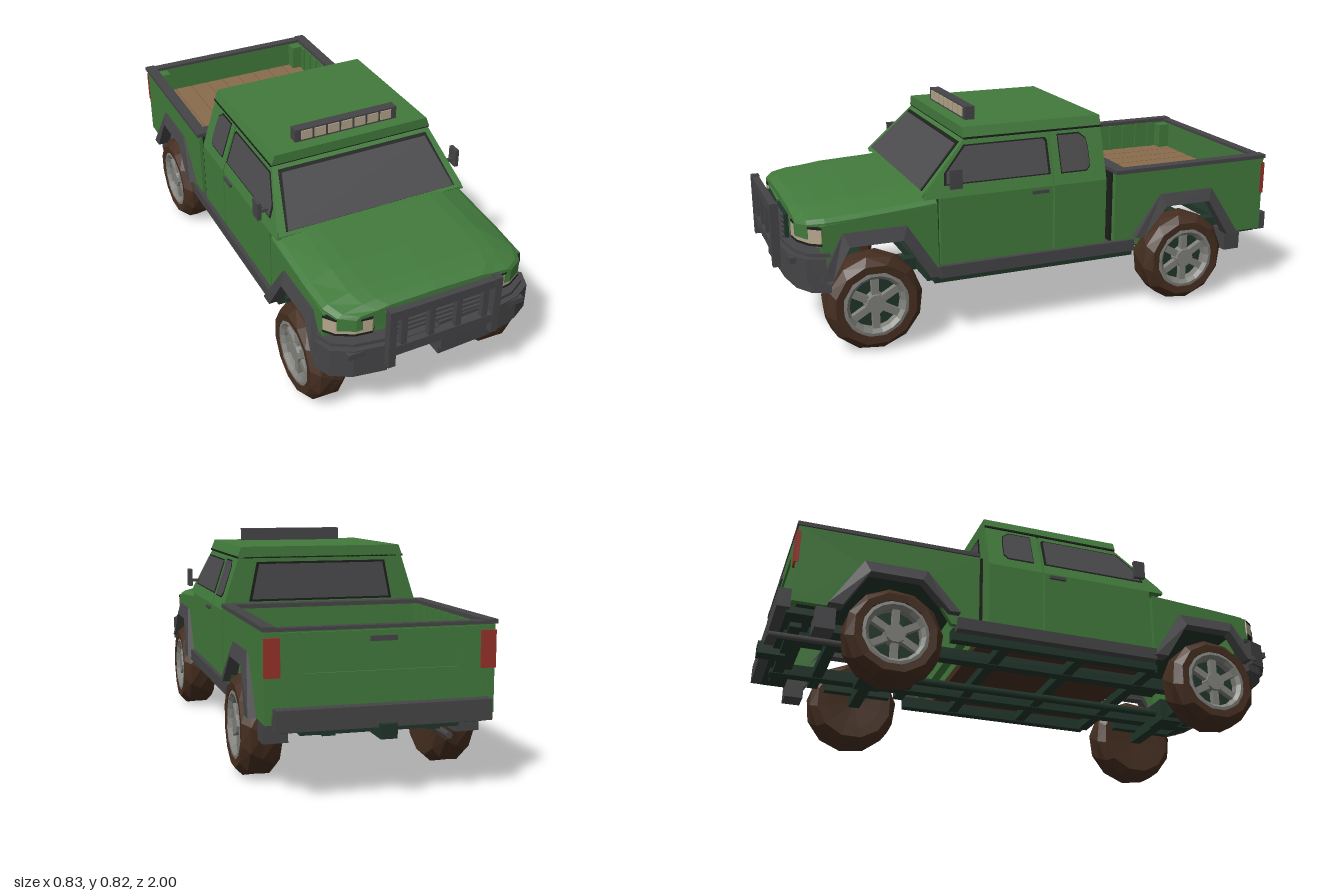
import * as THREE from 'three';

const mat = (name, color) => Object.assign(new THREE.MeshStandardMaterial({ color }), { name });

export function createModel() {
  const truck = new THREE.Group();
  truck.name = 'pickupTruck';
  const green = mat('bodyGreen', 0x427a3c), trim = mat('trimGrey', 0x454547), glass = mat('glassGrey', 0x4b4b4d);
  const frame = mat('chassisGreen', 0x20352a), tyre = mat('tyreBrown', 0x452e20), rim = mat('rimGrey', 0x80807b);
  const wood = mat('bedWood', 0x8a6c4c), lamp = mat('lampCream', 0xb5a68c), red = mat('tailRed', 0x97302a);
  const black = mat('sealBlack', 0x1c1f1c);

  const add = (name, geo, material, parent = truck) => {
    const m = new THREE.Mesh(geo, material);
    m.name = name;
    parent.add(m);
    return m;
  };
  // box given by its limits on each axis
  const box = (name, m, x0, x1, y0, y1, z0, z1, parent) => add(name,
    new THREE.BoxGeometry(x1 - x0, y1 - y0, z1 - z0).translate((x0 + x1) / 2, (y0 + y1) / 2, (z0 + z1) / 2), m, parent);
  const pair = (name, m, x0, x1, ...r) => {
    box(name + 'Left', m, x0, x1, ...r);
    box(name + 'Right', m, -x1, -x0, ...r);
  };
  const shapeOf = (pts) => new THREE.Shape(pts.map(([a, b]) => new THREE.Vector2(a, b)));
  const extrude = (shape, depth) => new THREE.ExtrudeGeometry(shape, { depth, bevelEnabled: false });
  const cabLean = (y) => -Math.max(0, y - 0.53) * 0.33;
  // panel outlined in (z, y), made on both sides, leaning inwards by a rule
  const sidePanels = (name, m, pts, x0, x1, lean = () => 0) => {
    for (const s of [1, -1]) {
      const g = extrude(shapeOf(pts.map(([z, y]) => [-z, y])), x1 - x0).rotateY(Math.PI / 2).translate(s > 0 ? x0 : -x1, 0, 0);
      const p = g.attributes.position;
      for (let i = 0; i < p.count; i++) p.setX(i, p.getX(i) + s * lean(p.getY(i), Math.abs(p.getX(i))));
      g.computeVertexNormals();
      add(name + (s > 0 ? 'Left' : 'Right'), g, m);
    }
  };
  // plan outline in (x, z), extruded upwards
  const plan = (name, m, pts, y0, y1) =>
    add(name, extrude(shapeOf(pts.map(([x, z]) => [x, -z])), y1 - y0).rotateX(-Math.PI / 2).translate(0, y0, 0), m);
  const mirrorX = (half) => [...half, ...half.filter(([x]) => x > 0).reverse().map(([x, z]) => [-x, z])];
  const loop = (half, t) => [...mirrorX(half), ...mirrorX(half.map(([x, z]) => [x > 0 ? x - t : 0, z - t])).reverse()];
  const trapezoid = (w0, y0, w1, y1) => [[-w0, y0], [w0, y0], [w1, y1], [-w1, y1]];

  // hood lofted along z: half width, shoulder height, crown height
  const stations = [[0.44, 0.383, 0.515, 0.552], [0.5, 0.384, 0.51, 0.55], [0.72, 0.385, 0.495, 0.54],
    [0.84, 0.38, 0.488, 0.526], [0.9, 0.355, 0.482, 0.515], [0.93, 0.3, 0.476, 0.498]];
  const rows = stations.map(([z, w, s, t]) => {
    const half = [[w, 0.43], [w, s], [w * 0.95, s + 0.012], [w * 0.74, t - 0.006], [w * 0.6, t]];
    return [...half, [0, t + 0.003], ...half.slice().reverse().map(([x, y]) => [-x, y])].map(([x, y]) => [x, y, z]);
  });
  const tris = [];
  for (let i = 0; i + 1 < rows.length; i++) {
    for (let j = 0; j + 1 < rows[i].length; j++) {
      const [a, b, c, d] = [rows[i][j], rows[i][j + 1], rows[i + 1][j + 1], rows[i + 1][j]];
      tris.push(...a, ...b, ...d, ...b, ...c, ...d);
    }
  }
  const nose = rows.at(-1);
  for (let j = 1; j + 1 < nose.length; j++) tris.push(...nose[0], ...nose[j], ...nose[j + 1]);
  const hood = new THREE.BufferGeometry();
  hood.setAttribute('position', new THREE.Float32BufferAttribute(tris, 3));
  hood.computeVertexNormals();
  add('hood', hood, green);
  box('engineBayLiner', frame, -0.365, 0.365, 0.422, 0.432, 0.44, 0.88);
  box('firewall', frame, -0.36, 0.36, 0.28, 0.53, 0.425, 0.44);

  // fenders and front fascia
  sidePanels('frontFender', green, [[0.86, 0.3], [0.86, 0.48], [0.44, 0.51], [0.438, 0.27], [0.475, 0.27],
    [0.57, 0.42], [0.77, 0.42], [0.835, 0.3]], 0.365, 0.385);
  const noseLine = [[0, 0.94], [0.2, 0.935], [0.3, 0.92], [0.355, 0.89], [0.382, 0.845]];
  plan('fascia', green, loop(noseLine, 0.03), 0.34, 0.478);
  for (const s of [1, -1]) {
    const line = [[0.243, 0.935], [0.303, 0.926], [0.36, 0.895], [0.388, 0.858]];
    const strip = (t) => [...line.map(([x, z]) => [x + t, z + t]), ...line.slice().reverse().map(([x, z]) => [x - 0.02, z - 0.02])].map(([x, z]) => [s * x, z]);
    plan('headlight', lamp, strip(0), 0.417, 0.468);
    plan('headlightTopSeal', black, strip(0.001), 0.468, 0.475);
    plan('headlightLowerSeal', black, strip(0.001), 0.409, 0.417);
  }
  box('grillePanel', frame, -0.175, 0.175, 0.375, 0.472, 0.93, 0.945);
  for (let i = 0; i < 5; i++) box('grilleSlat', trim, -0.17, 0.17, 0.385 + i * 0.019, 0.394 + i * 0.019, 0.94, 0.955);

  // front bumper and bull bar
  const bumperLine = [[0, 0.982], [0.2, 0.975], [0.32, 0.955], [0.39, 0.915], [0.415, 0.85]];
  plan('frontBumper', trim, loop(bumperLine, 0.06), 0.275, 0.372);
  plan('frontBumperLip', trim, loop(bumperLine.map(([x, z]) => [x * 0.985, z - 0.015]), 0.06), 0.245, 0.275);
  plan('frontBumperTop', trim, loop(bumperLine.map(([x, z]) => [x * 0.97, z - 0.018]), 0.04), 0.372, 0.385);
  box('bumperInset', trim, -0.345, 0.345, 0.345, 0.367, 0.93, 0.962);
  pair('bullBarPost', trim, 0.188, 0.215, 0.293, 0.527, 0.97, 1);
  box('bullBarTop', trim, -0.19, 0.19, 0.488, 0.522, 0.972, 0.997);
  box('bullBarBottom', trim, -0.19, 0.19, 0.337, 0.374, 0.972, 0.997);
  for (const x of [-0.157, -0.052, 0.052, 0.157]) box('bullBarUpright', trim, x - 0.011, x + 0.011, 0.37, 0.49, 0.975, 0.995);

  // cab: lower doors, leaning greenhouse, roof, back wall
  sidePanels('doorLower', green, [[0.43, 0.282], [0.43, 0.53], [-0.01, 0.53], [-0.01, 0.282]], 0.365, 0.385);
  sidePanels('rearCabLower', green, [[-0.017, 0.275], [-0.017, 0.53], [-0.23, 0.53], [-0.23, 0.275]], 0.365, 0.385);
  sidePanels('doorUpper', green, [[0.49, 0.53], [0.48, 0.555], [0.31, 0.73], [-0.01, 0.73], [-0.01, 0.53]], 0.365, 0.385, cabLean);
  sidePanels('rearCabUpper', green, [[-0.017, 0.53], [-0.017, 0.73], [-0.23, 0.73], [-0.23, 0.53]], 0.365, 0.385, cabLean);
  const doorWin = [[0.4, 0.577], [0.395, 0.615], [0.315, 0.699], [0.012, 0.699], [0.005, 0.69], [0.005, 0.577]];
  const rearWin = [[-0.05, 0.575], [-0.05, 0.705], [-0.135, 0.705], [-0.16, 0.685], [-0.165, 0.65], [-0.165, 0.59], [-0.15, 0.575]];
  for (const [name, pts] of [['doorWindow', doorWin], ['rearSideWindow', rearWin]]) {
    const cz = (pts[0][0] + pts.at(-2)[0]) / 2;
    sidePanels(name + 'Seal', black, pts.map(([z, y]) => [cz + (z - cz) * 1.05, 0.64 + (y - 0.64) * 1.08]), 0.382, 0.387, cabLean);
    sidePanels(name, glass, pts, 0.382, 0.389, cabLean);
  }
  add('roof', extrude(shapeOf([...trapezoid(0.325, 0.727, 0.311, 0.765)]), 0.55).translate(0, 0, -0.23), green);
  box('roofSeam', black, -0.327, 0.327, 0.722, 0.729, -0.23, 0.318);
  const back = shapeOf([[-0.383, 0.28], [0.383, 0.28], [0.383, 0.53], [0.318, 0.73], [-0.318, 0.73], [-0.383, 0.53]]);
  add('cabBackWall', extrude(back, 0.015).translate(0, 0, -0.23), green);
  add('rearWindowSeal', extrude(shapeOf(trapezoid(0.282, 0.56, 0.252, 0.708)), 0.003).translate(0, 0, -0.233), black);
  add('rearWindow', extrude(shapeOf(trapezoid(0.27, 0.568, 0.243, 0.7)), 0.005).translate(0, 0, -0.235), glass);
  box('cabFloor', tyre, -0.37, 0.37, 0.25, 0.28, -0.23, 0.44);

  // windshield on its slanted frame
  const shield = new THREE.Group();
  shield.name = 'windshield';
  shield.position.set(0, 0.55, 0.488);
  shield.rotation.x = -Math.PI / 4;
  truck.add(shield);
  add('windshieldFrame', extrude(shapeOf(trapezoid(0.376, -0.01, 0.318, 0.255)), 0.012).translate(0, 0, -0.012), green, shield);
  add('windshieldSeal', extrude(shapeOf(trapezoid(0.345, 0.004, 0.303, 0.226)), 0.003), black, shield);
  add('windshieldGlass', extrude(shapeOf(trapezoid(0.338, 0.004, 0.294, 0.212)), 0.006), glass, shield);

  // roof light bar
  box('lightBar', trim, -0.208, 0.208, 0.763, 0.814, 0.232, 0.27);
  for (let i = -3; i <= 3; i++) box('lightBarLamp', lamp, i * 0.054 - 0.022, i * 0.054 + 0.022, 0.773, 0.808, 0.265, 0.274);

  // mirrors, handles and sills
  pair('mirrorArm', trim, 0.36, 0.405, 0.585, 0.596, 0.37, 0.382);
  pair('mirror', trim, 0.401, 0.416, 0.568, 0.638, 0.355, 0.4);
  pair('doorHandle', trim, 0.384, 0.394, 0.508, 0.52, 0.01, 0.075);
  pair('sill', trim, 0.35, 0.4, 0.235, 0.28, -0.35, 0.44);

  // wheel-arch flares
  const flare = (name, zc, a, b) => sidePanels(name, trim, [[zc + a, 0.29], [zc + 0.115, 0.447], [zc - 0.115, 0.447], [zc - b, 0.25],
    [zc - b + 0.05, 0.25], [zc - 0.095, 0.4], [zc + 0.095, 0.4], [zc + a - 0.04, 0.29]], 0.365, 0.416,
  (y, x) => (x > 0.4 ? -Math.max(0, y - 0.38) * 0.35 : 0));
  flare('frontFlare', 0.67, 0.2, 0.24);
  flare('rearFlare', -0.58, 0.235, 0.235);

  // cargo bed
  sidePanels('bedSide', green, [[-0.268, 0.255], [-0.268, 0.545], [-0.935, 0.545], [-0.935, 0.25], [-0.785, 0.25],
    [-0.685, 0.42], [-0.475, 0.42], [-0.37, 0.255]], 0.365, 0.387);
  pair('bedInnerWall', green, 0.35, 0.366, 0.42, 0.545, -0.92, -0.27);
  for (let i = 0; i < 8; i++) pair('bedRib', green, 0.342, 0.352, 0.43, 0.545, -0.38 - i * 0.065, -0.365 - i * 0.065);
  pair('bedCornerPost', green, 0.305, 0.352, 0.43, 0.54, -0.91, -0.86);
  pair('bedRail', trim, 0.352, 0.394, 0.545, 0.56, -0.94, -0.268);
  box('bedFrontWall', green, -0.385, 0.385, 0.255, 0.545, -0.3, -0.268);
  box('bedFrontRail', trim, -0.394, 0.394, 0.545, 0.56, -0.32, -0.268);
  box('bedFrontSeal', black, -0.375, 0.375, 0.28, 0.55, -0.262, -0.252);
  box('bedUnderside', frame, -0.352, 0.352, 0.415, 0.428, -0.92, -0.28);
  for (let i = 0; i < 9; i++) box('bedPlank', wood, -0.346 + i * 0.077, -0.273 + i * 0.077, 0.427, 0.436, -0.905, -0.3);

  // tailgate with a recessed panel
  box('tailgate', green, -0.366, 0.366, 0.28, 0.545, -0.93, -0.908);
  const gate = shapeOf(trapezoid(0.335, 0.3, 0.335, 0.54));
  gate.holes.push(new THREE.Path(trapezoid(0.26, 0.41, 0.26, 0.485).map(([x, y]) => new THREE.Vector2(x, y))));
  add('tailgateFrame', extrude(gate, 0.009).translate(0, 0, -0.938), green);
  box('tailgateRail', trim, -0.36, 0.36, 0.545, 0.556, -0.94, -0.905);
  box('tailgateHandle', trim, -0.045, 0.045, 0.505, 0.522, -0.944, -0.935);
  pair('tailLight', red, 0.338, 0.389, 0.4, 0.525, -0.941, -0.925);

  // rear bumper, hitch, exhaust, flaps
  box('rearBumper', trim, -0.362, 0.362, 0.235, 0.305, -0.98, -0.935);
  box('rearBumperStep', frame, -0.34, 0.34, 0.225, 0.25, -0.945, -0.85);
  box('hitch', frame, -0.028, 0.028, 0.2, 0.248, -1, -0.9);
  pair('mudFlap', trim, 0.29, 0.375, 0.17, 0.25, -0.85, -0.78);
  add('exhaust', new THREE.CylinderGeometry(0.012, 0.012, 0.5, 8).rotateX(Math.PI / 2).translate(-0.21, 0.195, -0.735), trim);

  // ladder chassis and axles
  pair('chassisRail', frame, 0.155, 0.2, 0.205, 0.25, -0.93, 0.88);
  pair('outerRail', frame, 0.33, 0.365, 0.205, 0.25, -0.36, 0.45);
  for (const z of [0.85, 0.45, 0.15, -0.15, -0.4, -0.75, -0.9]) {
    const w = z > -0.3 && z < 0.5 ? 0.34 : 0.27;
    box('crossMember', frame, -w, w, 0.208, 0.24, z - 0.02, z + 0.02);
  }
  add('driveShaft', new THREE.CylinderGeometry(0.016, 0.016, 1.25, 8).rotateX(Math.PI / 2).translate(0, 0.185, 0.05), frame);
  for (const z of [0.68, -0.575]) {
    box('axle', frame, -0.3, 0.3, 0.155, 0.197, z - 0.022, z + 0.022);
    box('differential', frame, -0.054, 0.054, 0.14, 0.23, z - 0.05, z + 0.05);
    pair('spring', frame, 0.225, 0.255, 0.19, 0.225, z - 0.13, z + 0.13);
  }

  // wheels: faceted tyre with skewed tread, dished six-spoke rim
  const ring = (pts, sides) => new THREE.LatheGeometry(pts.map(([r, x]) => new THREE.Vector2(r, x)), sides);
  const flat = (g) => { const f = g.toNonIndexed(); f.computeVertexNormals(); return f; };
  const tyreGeo = ring([[0, -0.06], [0.11, -0.068], [0.15, -0.07], [0.176, -0.042], [0.178, 0], [0.176, 0.042], [0.15, 0.07], [0.122, 0.068], [0.116, 0.025]], 12);
  const tp = tyreGeo.attributes.position;
  for (let i = 0; i < tp.count; i++) {
    const a = tp.getY(i) * 3.5, x = tp.getX(i), z = tp.getZ(i);
    tp.setX(i, x * Math.cos(a) + z * Math.sin(a));
    tp.setZ(i, z * Math.cos(a) - x * Math.sin(a));
  }
  const turned = (g) => flat(g.rotateZ(-Math.PI / 2));
  const tyreFlat = turned(tyreGeo);
  const rimGeo = turned(ring([[0.118, 0.02], [0.12, 0.066], [0.108, 0.068], [0.095, 0.055], [0.093, 0.02]], 18));
  const discGeo = turned(new THREE.CylinderGeometry(0.116, 0.116, 0.01, 18).translate(0, 0.022, 0));
  const hubGeo = turned(new THREE.CylinderGeometry(0.036, 0.042, 0.04, 10).translate(0, 0.043, 0));
  for (const z of [0.68, -0.575]) {
    for (const s of [1, -1]) {
      const wheel = new THREE.Group();
      wheel.name = (z > 0 ? 'front' : 'rear') + 'Wheel' + (s > 0 ? 'Left' : 'Right');
      wheel.position.set(s * 0.347, 0.176, z);
      wheel.rotation.y = s > 0 ? 0 : Math.PI;
      truck.add(wheel);
      add('tyre', tyreFlat, tyre, wheel);
      add('rimRing', rimGeo, rim, wheel);
      add('brakeDisc', discGeo, frame, wheel);
      add('hub', hubGeo, rim, wheel);
      for (let i = 0; i < 6; i++) {
        const spoke = box('spoke', rim, 0.032, 0.054, 0.025, 0.102, -0.013, 0.013, wheel);
        spoke.rotation.x = i * Math.PI / 3;
      }
    }
  }
  return truck;
}
